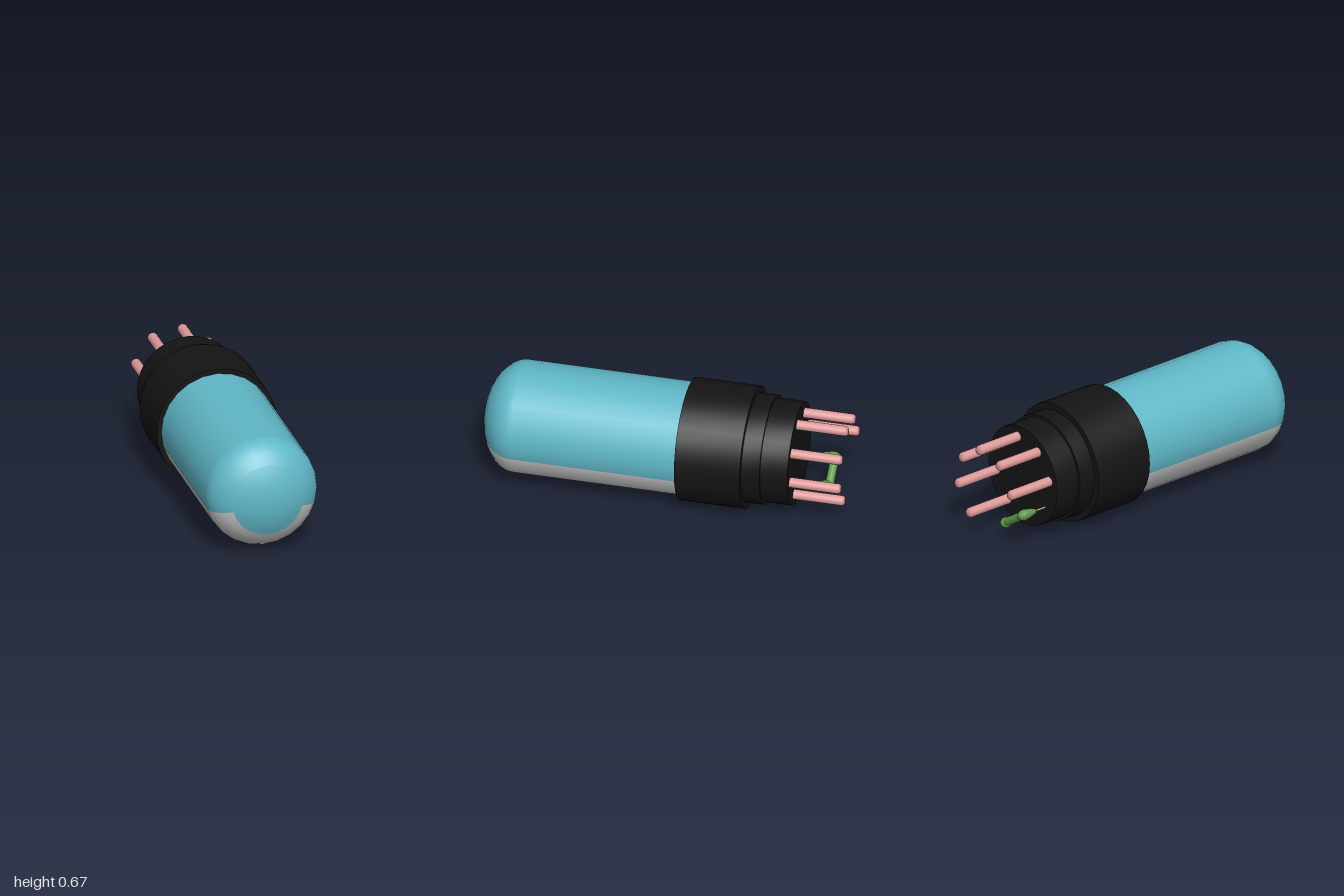
import * as THREE from 'three';
import { toCreasedNormals } from 'three/addons/utils/BufferGeometryUtils.js';

const CY = 0.333; // height of the tube axis
const mat = (color) => new THREE.MeshStandardMaterial({ color });
const blue = mat(0x60b8c8), grey = mat(0xcccccc), black = mat(0x141414);
const pink = mat(0xdd9999), green = mat(0x5f9a4a);

// Lathe of [radius, z] pairs (z increasing) around the z axis; angle 0 points down
function turned(pairs, segments, start = 0, length = Math.PI * 2) {
  const points = pairs.map(([r, z]) => new THREE.Vector2(r, z));
  return new THREE.LatheGeometry(points, segments, start, length).rotateX(Math.PI / 2);
}

export function createModel() {
  const model = new THREE.Group();
  const add = (name, geometry, material, x = 0, y = CY, z = 0) => {
    const mesh = new THREE.Mesh(geometry, material);
    mesh.name = name;
    mesh.position.set(x, y, z);
    model.add(mesh);
    return mesh;
  };

  // Glass envelope: straight wall and elliptical dome
  const R = 0.308;
  const dome = (from, to, n) => Array.from({ length: n + 1 }, (_, i) => {
    const a = THREE.MathUtils.degToRad(from + (to - from) * i / n);
    return [R * Math.cos(a), 0.8 + 0.2 * Math.sin(a)];
  });
  const wall = [[R, -0.15], ...dome(0, 50, 6)];
  const cut = THREE.MathUtils.degToRad(75);
  add('glassUpper', turned(wall, 14, cut, 2 * Math.PI - 2 * cut), blue);
  add('glassLower', turned(wall, 10, -cut, 2 * cut), grey);
  add('glassTip', turned(dome(50, 90, 5), 24), blue);

  // Stepped socket base
  const base = turned([
    [0, -0.72], [0.282, -0.72], [0.282, -0.57], [0.297, -0.57], [0.297, -0.47],
    [0.333, -0.47], [0.333, -0.11], [0.3, -0.11],
  ], 32);
  add('base', toCreasedNormals(base, 0.6), black);

  // Six contact pins on an eight-place circle
  const place = (i) => {
    const a = THREE.MathUtils.degToRad(79 - 45 * i);
    return [0.22 * Math.cos(a), CY + 0.22 * Math.sin(a)];
  };
  const pin = turned([[0, -1], [0.02, -1], [0.028, -0.988], [0.028, -0.71]], 14);
  for (const i of [0, 1, 2, 3, 6, 7]) add('pin', pin, pink, ...place(i));

  // Small component bridging the two empty places
  const wire = turned([[0.006, -0.81], [0.006, -0.71]], 8);
  const drop = turned([
    [0, -0.905], [0.02, -0.9], [0.03, -0.88], [0.03, -0.86], [0.022, -0.82], [0.013, -0.79], [0, -0.785],
  ], 14);
  const ends = [4, 5].map(place);
  for (const end of ends) {
    add('componentLead', wire, pink, ...end);
    add('componentEnd', drop, green, ...end);
  }
  const [a, b] = ends.map(([x, y]) => new THREE.Vector3(x, y, -0.875));
  add('componentBody', new THREE.TubeGeometry(new THREE.LineCurve3(a, b), 1, 0.024, 14), green, 0, 0);

  return model;
}
